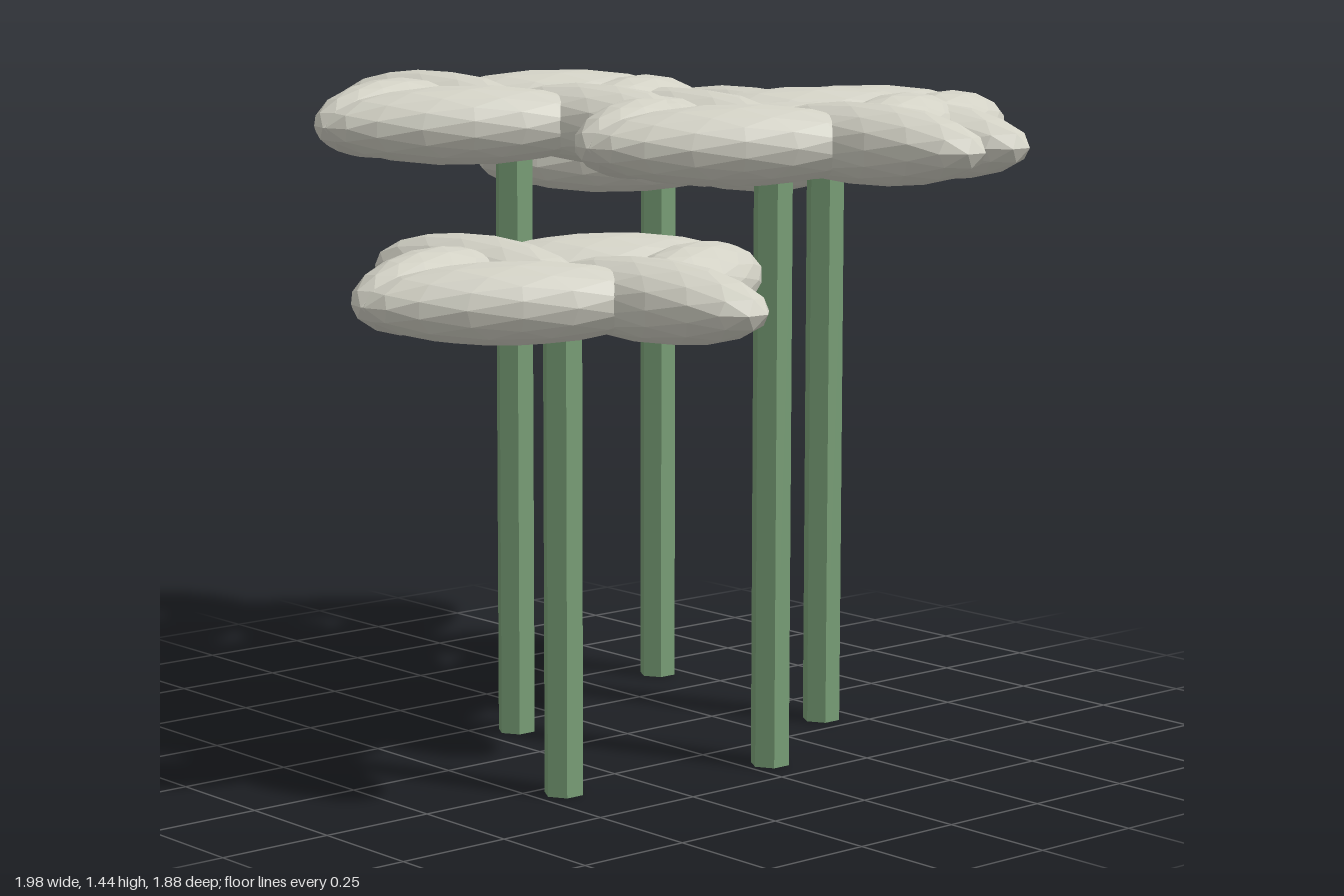
import * as THREE from 'three';

const mat = (name, color) => {
  const m = new THREE.MeshStandardMaterial({ color, flatShading: true });
  m.name = name;
  return m;
};

export function createModel() {
  const petalMat = mat('petal ivory', 0xd2d1c5);
  const stemMat = mat('stem green', 0x789e76);
  const centreMat = mat('centre yellow', 0xe2ca76);

  const ball = new THREE.IcosahedronGeometry(1, 2);
  const sidePetal = ball.clone().scale(0.32, 0.084, 0.124);
  const slantPetal = ball.clone().scale(0.306, 0.084, 0.115);
  const centreGeo = new THREE.IcosahedronGeometry(1, 2).scale(0.118, 0.038, 0.118);

  // x, height, z of each flower head
  const flowers = [
    [-0.405, 1.25, -0.44],
    [0.175, 1.32, -0.422],
    [0.4, 1.345, -0.058],
    [-0.185, 1.362, 0.165],
    [0.305, 1.057, 0.435],
  ];

  const model = new THREE.Group();
  model.name = 'flowers';

  for (const [x, y, z] of flowers) {
    const flower = new THREE.Group();
    flower.name = 'flower';
    flower.position.set(x, 0, z);

    // six-sided stem
    const stem = new THREE.Mesh(new THREE.CylinderGeometry(0.0425, 0.0425, y - 0.01, 6), stemMat);
    stem.name = 'stem';
    stem.position.y = (y - 0.01) / 2;
    flower.add(stem);

    const centre = new THREE.Mesh(centreGeo, centreMat);
    centre.name = 'flowerCentre';
    centre.position.y = y;
    flower.add(centre);

    // six petals: two point sideways, four lean together into a V at front and back
    for (let i = 0; i < 6; i++) {
      const a = (i * Math.PI) / 3;
      const side = i % 3 === 0;
      const r = side ? 0.275 : 0.27;
      const petal = new THREE.Mesh(side ? sidePetal : slantPetal, petalMat);
      petal.name = 'petal';
      petal.position.set(Math.cos(a) * r, y, Math.sin(a) * r);
      petal.rotation.y = a;
      flower.add(petal);
    }
    model.add(flower);
  }
  return model;
}
